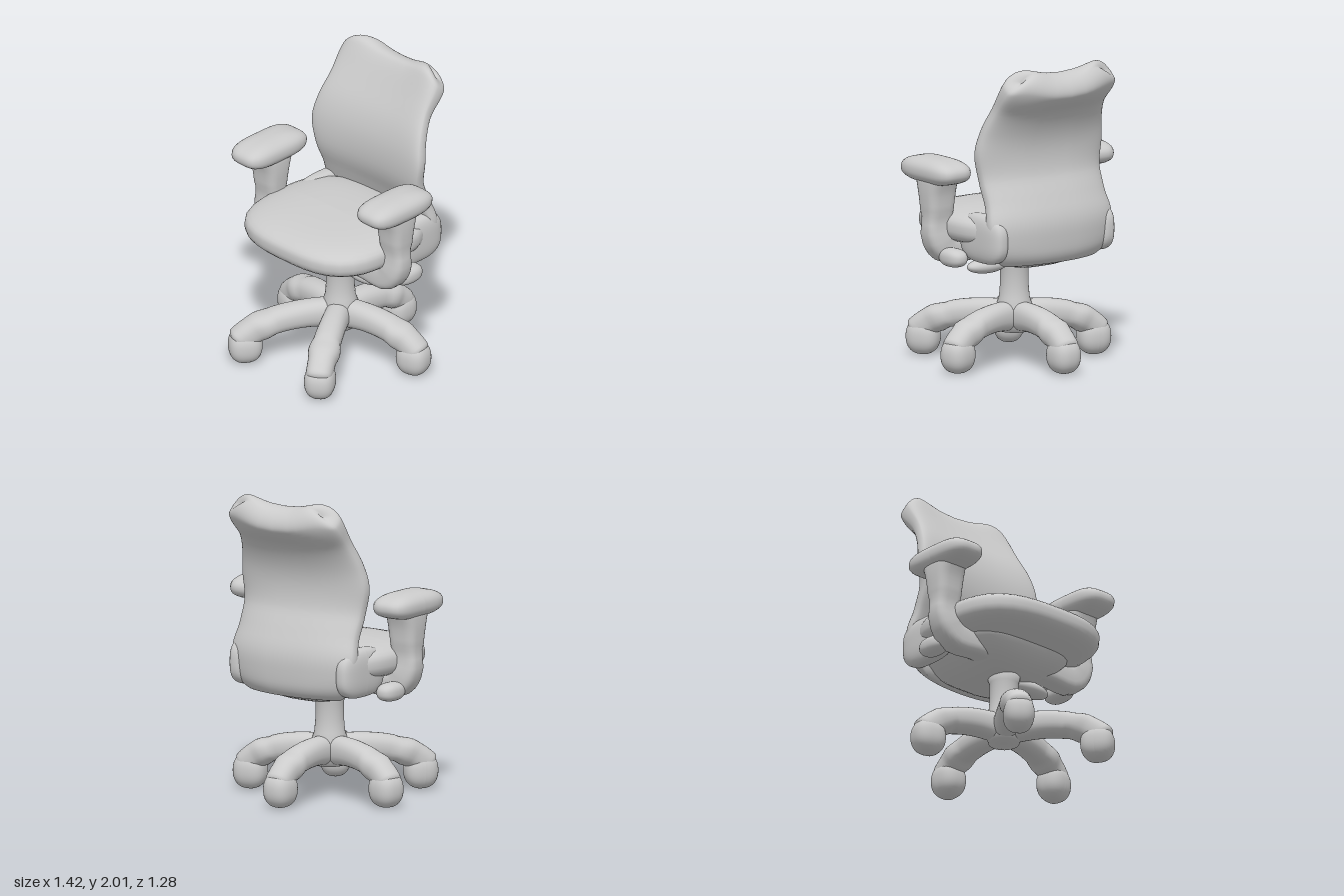
import * as THREE from 'three';
import { mergeVertices } from 'three/addons/utils/BufferGeometryUtils.js';

const material = new THREE.MeshStandardMaterial({ color: 0xcccccc });
const spow = (v, e) => Math.sign(v) * Math.abs(v) ** e;

function add(parent, name, geometry, x = 0, y = 0, z = 0) {
  const mesh = new THREE.Mesh(geometry, material);
  mesh.name = name;
  mesh.position.set(x, y, z);
  parent.add(mesh);
  return mesh;
}

// Soft cushion: a sphere squared off in plan (nh) and in height (nv)
function cushion(rx, ry, rz, nh = 3, nv = 2.5, warp) {
  const g = new THREE.SphereGeometry(1, 40, 24);
  const p = g.attributes.position;
  const v = new THREE.Vector3();
  for (let i = 0; i < p.count; i++) {
    v.fromBufferAttribute(p, i);
    const h = (Math.abs(v.x) ** nh + Math.abs(v.z) ** nh) ** (1 / nh);
    const r = (h ** nv + Math.abs(v.y) ** nv) ** (1 / nv);
    v.divideScalar(r);
    if (warp) warp(v);
    p.setXYZ(i, v.x * rx, v.y * ry, v.z * rz);
  }
  g.computeVertexNormals();
  return g;
}

// Rounded bar swept along stations [z, y, half width in x, half thickness];
// both ends round off to a line
function sweep(stations, { power = 2.5, round = 0.1, rows = 32, sides = 28, warp } = {}) {
  const path = new THREE.CatmullRomCurve3(stations.map(s => new THREE.Vector3(0, s[1], s[0])));
  const size = new THREE.CatmullRomCurve3(stations.map(s => new THREE.Vector3(s[2], s[3], 0)));
  const pos = [], index = [];
  const X = new THREE.Vector3(1, 0, 0);
  for (let i = 0; i <= rows; i++) {
    const t = (1 - Math.cos(Math.PI * i / rows)) / 2;
    const c = path.getPoint(t), s = size.getPoint(t);
    const n = path.getTangent(t).cross(X);
    const e = Math.min(1, t / round, (1 - t) / round);
    const f = Math.sqrt(Math.max(0, 1 - (1 - e) ** 2));
    const w = s.x - s.y * (1 - f), h = s.y * f;
    for (let j = 0; j < sides; j++) {
      const a = j / sides * Math.PI * 2;
      const u = spow(Math.cos(a), 2 / power);
      const p = c.clone().addScaledVector(n, h * spow(Math.sin(a), 2 / power));
      p.x = u * w;
      if (warp) warp(p, u, t);
      pos.push(p.x, p.y, p.z);
      if (i < rows) {
        const A = i * sides + j, B = i * sides + (j + 1) % sides;
        index.push(A, B, B + sides, A, B + sides, A + sides);
      }
    }
  }
  const g = new THREE.BufferGeometry();
  g.setAttribute('position', new THREE.Float32BufferAttribute(pos, 3));
  g.setIndex(index);
  const merged = mergeVertices(g, 1e-4);
  merged.computeVertexNormals();
  return merged;
}

export function createModel() {
  const chair = new THREE.Group();
  chair.name = 'officeChair';

  // Curved backrest, its sides bowed forward, ending in a thick roll with raised corners
  const back = [
    [-0.425, 0.71, 0.4, 0.065], [-0.44, 0.86, 0.47, 0.07], [-0.435, 0.99, 0.485, 0.075],
    [-0.385, 1.13, 0.465, 0.075], [-0.325, 1.28, 0.47, 0.075], [-0.315, 1.45, 0.495, 0.075],
    [-0.35, 1.6, 0.47, 0.075], [-0.43, 1.75, 0.435, 0.08], [-0.525, 1.87, 0.435, 0.105],
    [-0.585, 1.94, 0.42, 0.1],
  ];
  add(chair, 'backrest', sweep(back, {
    power: 3.2, round: 0.08, rows: 56, sides: 48,
    warp: (p, u, t) => {
      p.z += 0.06 * u * u;
      const top = THREE.MathUtils.smoothstep(t, 0.8, 1);
      p.y += top * 0.05 * Math.sin(Math.PI * Math.abs(u) ** 2.3);
    },
  }));

  // Seat cushion, its top falling slightly to the front
  add(chair, 'seatCushion', cushion(0.545, 0.135, 0.49, 3, 3, v => {
    if (v.y > 0) v.y *= 1 - 0.2 * Math.max(0, v.z);
  }), 0, 0.935, 0.05);

  // Mechanism housing, narrower towards the bottom
  add(chair, 'seatPan', cushion(0.42, 0.18, 0.4, 3.5, 2.6, v => {
    if (v.y < 0) {
      v.x *= 1 + 0.35 * v.y;
      v.z *= 1 + 0.2 * v.y;
    }
  }), 0, 0.825, -0.09);
  add(chair, 'adjustLever', cushion(0.15, 0.05, 0.07, 2, 2), 0.22, 0.65, 0);

  // Arms: a bar from under the seat turning up to a padded rest
  const arm = [
    [0.08, 0.79, 0.08, 0.09], [0.32, 0.785, 0.085, 0.09], [0.5, 0.785, 0.085, 0.095],
    [0.56, 0.86, 0.085, 0.1], [0.57, 1.03, 0.085, 0.1], [0.57, 1.16, 0.1, 0.11],
    [0.57, 1.3, 0.15, 0.11],
  ];
  for (const side of [-1, 1]) {
    const group = new THREE.Group();
    group.name = side > 0 ? 'leftArm' : 'rightArm';
    chair.add(group);
    const post = add(group, 'armPost', sweep(arm, { power: 3.2, round: 0.06 }), 0, 0, 0.065);
    post.rotation.y = side * Math.PI / 2;
    add(group, 'armPad', cushion(0.14, 0.088, 0.265, 3.8, 2.4), side * 0.572, 1.308, 0.075);
    add(group, 'armKnob', cushion(0.07, 0.06, 0.11, 2.5, 2.5), side * 0.54, 0.75, -0.07);
    add(group, 'backBracket', cushion(0.07, 0.16, 0.22, 3, 3), side * 0.425, 0.89, -0.25);
  }

  // Gas column
  const column = [[0, 0.2], [0.1, 0.2], [0.12, 0.27], [0.12, 0.36], [0.1, 0.42],
    [0.093, 0.5], [0.093, 0.62], [0.12, 0.7], [0, 0.7]];
  add(chair, 'column', new THREE.LatheGeometry(column.map(p => new THREE.Vector2(...p)), 24));

  // Five-legged base, one leg pointing straight back: [angle in degrees, length]
  const leg = [
    [0, 0.3, 0.08, 0.1], [0.2, 0.305, 0.085, 0.09], [0.36, 0.28, 0.09, 0.085],
    [0.48, 0.23, 0.09, 0.085], [0.59, 0.14, 0.085, 0.08],
  ];
  const legGeometry = sweep(leg, { power: 2.3, round: 0.08 });
  const casterGeometry = cushion(0.1, 0.12, 0.11, 2.6, 2.3);
  const legs = [[180, 1], [-103, 1.04], [-33, 1.17], [33, 1.17], [103, 1.04]];
  legs.forEach(([angle, length], i) => {
    const group = new THREE.Group();
    group.name = 'baseLeg' + (i + 1);
    group.rotation.y = THREE.MathUtils.degToRad(angle);
    add(group, 'leg', legGeometry).scale.z = length;
    add(group, 'caster', casterGeometry, 0, 0.12, 0.535 * length);
    chair.add(group);
  });
  return chair;
}
